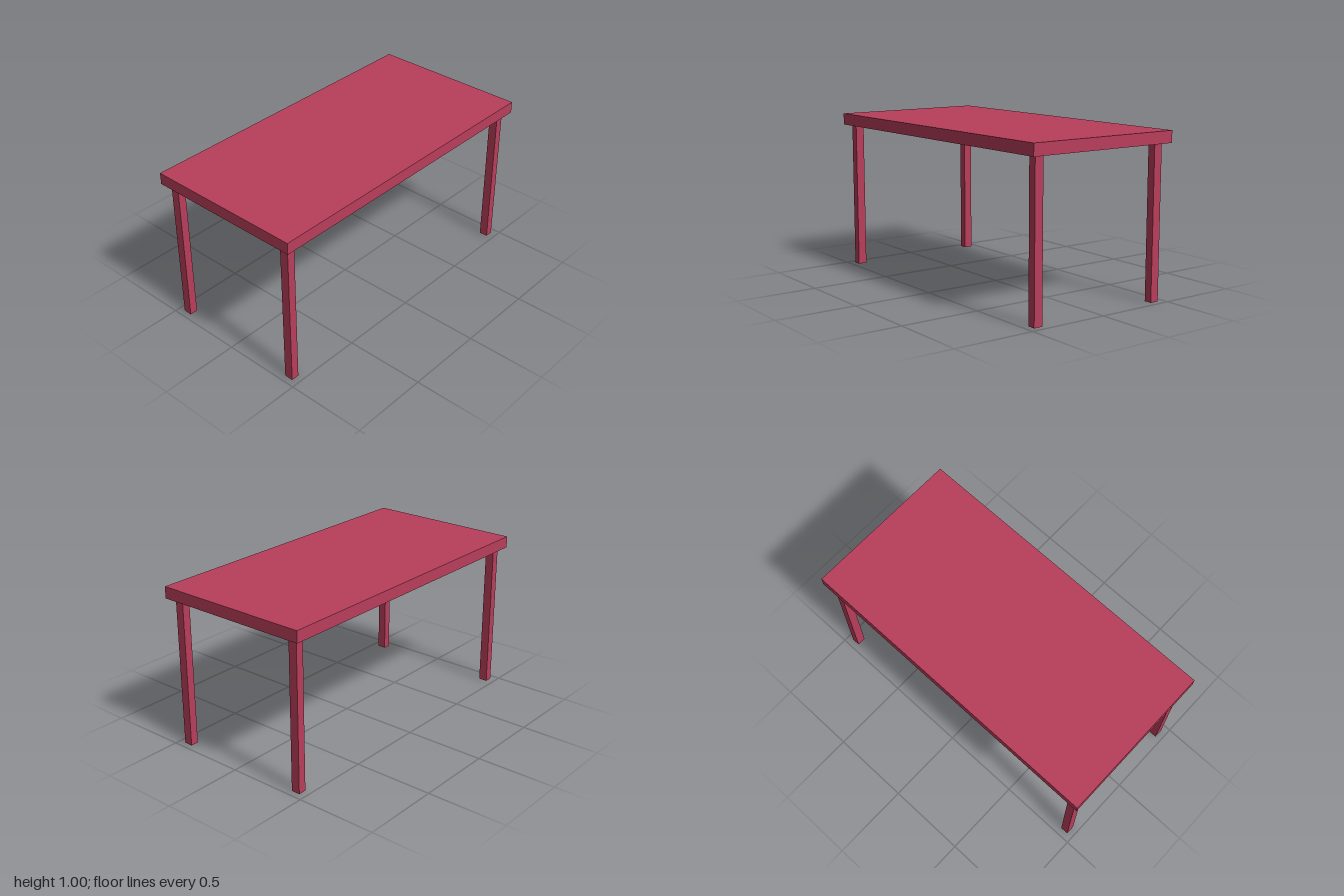
import * as THREE from 'three';

const HEIGHT = 1;
const TOP_THICKNESS = 0.072;
const LEG_HEIGHT = HEIGHT - TOP_THICKNESS;

export function createModel() {
  const table = new THREE.Group();
  table.name = 'table';
  const material = new THREE.MeshStandardMaterial({ color: 0xb83e5a });

  const addBox = (name, size, position) => {
    const mesh = new THREE.Mesh(new THREE.BoxGeometry(...size), material);
    mesh.name = name;
    mesh.position.set(...position);
    table.add(mesh);
  };

  // Slab top
  addBox('tableTop', [1, TOP_THICKNESS, 2], [0, HEIGHT - TOP_THICKNESS / 2, 0]);

  // Four square legs, set in slightly from the corners
  for (const [end, sz] of [['front', 1], ['back', -1]]) {
    for (const [side, sx] of [['Left', 1], ['Right', -1]]) {
      addBox(`${end}${side}Leg`, [0.055, LEG_HEIGHT, 0.05], [sx * 0.431, LEG_HEIGHT / 2, sz * 0.936]);
    }
  }

  return table;
}
